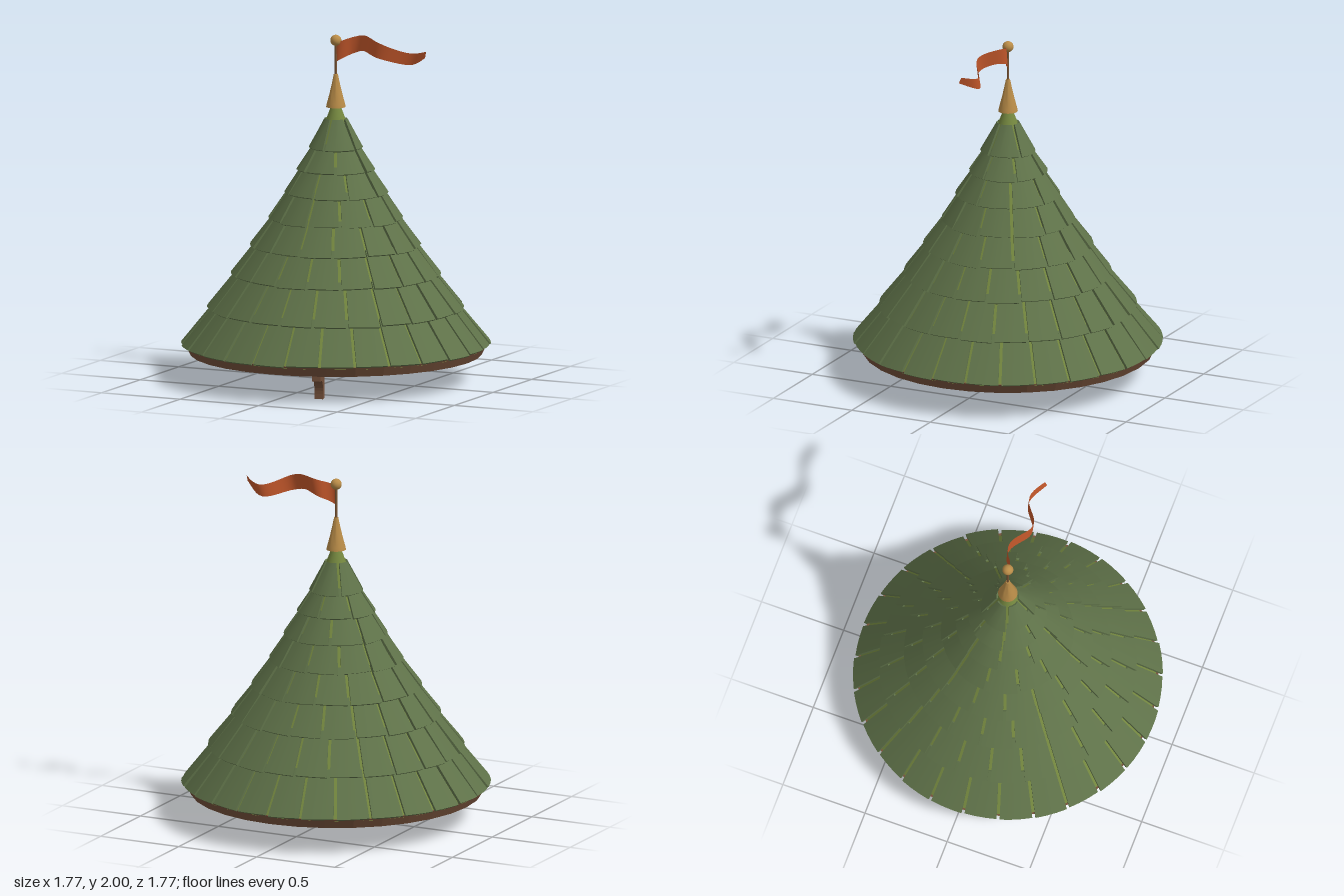
import * as THREE from 'three';
import { mergeGeometries, toCreasedNormals } from 'three/addons/utils/BufferGeometryUtils.js';

const mat = (name, color, extra = {}) => {
  const m = new THREE.MeshStandardMaterial({ color, ...extra });
  m.name = name;
  return m;
};

// Seeded random for slight hand-laid unevenness
function seeded(seed) {
  return () => {
    seed = (seed * 16807) % 2147483647;
    return seed / 2147483647;
  };
}

// Profile of the roof core, [radius, height]
const CORE = [[0.855, 0.2], [0.7, 0.42], [0.565, 0.615], [0.455, 0.785], [0.355, 0.94],
  [0.27, 1.09], [0.195, 1.22], [0.125, 1.345], [0.07, 1.47], [0.022, 1.6]];

// Shingle rows: [lower radius, lower height, count]
const ROWS = [[0.882, 0.215, 27], [0.735, 0.425, 23], [0.597, 0.62, 19], [0.487, 0.785, 15],
  [0.382, 0.94, 12], [0.298, 1.09, 9], [0.224, 1.225, 7], [0.158, 1.345, 5]];

function coreRadius(y) {
  for (let i = 1; i < CORE.length; i++) {
    const [r0, y0] = CORE[i - 1], [r1, y1] = CORE[i];
    if (y <= y1) return r0 + ((r1 - r0) * (y - y0)) / (y1 - y0);
  }
  return 0.022;
}

// One curved shingle: a box bent around the roof axis
function shingle(angle, count, low, high, gap, tilt) {
  const g = new THREE.BoxGeometry(1, 1, 1, 3, 1, 1);
  const p = g.attributes.position;
  for (let i = 0; i < p.count; i++) {
    const top = p.getY(i) > 0, inner = p.getZ(i) < 0;
    let [r, y] = top ? high : low;
    const half = Math.PI / count - gap / r;
    const a = angle + p.getX(i) * 2 * half;
    if (!top) y += p.getX(i) * tilt;
    if (inner) {
      r -= 0.013;
      y -= 0.008;
    }
    p.setXYZ(i, r * Math.sin(a), y, r * Math.cos(a));
  }
  return toCreasedNormals(g, 0.6);
}

// Waving pennant that narrows toward its tip
function pennantGeometry() {
  const curve = (pts) => new THREE.SplineCurve(pts.map(([x, y]) => new THREE.Vector2(x, y)));
  const upper = curve([[0, 1.95], [0.09, 1.985], [0.18, 2], [0.3, 1.975], [0.45, 1.917], [0.58, 1.943]]);
  const lower = curve([[0, 1.84], [0.09, 1.89], [0.18, 1.912], [0.3, 1.885], [0.45, 1.848], [0.58, 1.908]]);
  const g = new THREE.PlaneGeometry(1, 1, 36, 4);
  const p = g.attributes.position;
  for (let i = 0; i < p.count; i++) {
    const t = p.getX(i) + 0.5, v = p.getY(i) + 0.5;
    const q = lower.getPoint(t).lerp(upper.getPoint(t), v);
    const swing = 0.043 * Math.min(1, t * 6);
    p.setXYZ(i, q.x, q.y, -swing * Math.sin((2 * Math.PI * (q.x - 0.03 - 0.02 * (v - 0.5))) / 0.35));
  }
  g.computeVertexNormals();
  return g;
}

export function createModel() {
  const model = new THREE.Group();
  model.name = 'turretRoof';
  const shingleGreen = mat('shingle green', 0x5f7249);
  const mossGreen = mat('moss green', 0x74873f, { side: THREE.DoubleSide });
  const wood = mat('wood brown', 0x74503a, { flatShading: true });
  const gold = mat('gold', 0xb98c48);
  const poleBrown = mat('pole brown', 0x7a5535);
  const orange = mat('pennant orange', 0xc0562a, { side: THREE.DoubleSide });

  const add = (name, geometry, material, parent = model) => {
    const m = new THREE.Mesh(geometry, material);
    m.name = name;
    parent.add(m);
    return m;
  };

  // Roof core seen between the shingles
  add('roofCore', new THREE.LatheGeometry(CORE.map(([r, y]) => new THREE.Vector2(r, y)), 54), mossGreen);

  // Eave board closing the underside
  add('eave', new THREE.CylinderGeometry(0.862, 0.835, 0.055, 32), wood).position.y = 0.1825;

  // Overlapping shingle rows, staggered by half a shingle
  const rand = seeded(41);
  const shingles = new THREE.Group();
  shingles.name = 'shingles';
  model.add(shingles);
  ROWS.forEach(([r, y, count], row) => {
    const topY = row < 7 ? ROWS[row + 1][1] + 0.035 : 1.515;
    const parts = [];
    for (let i = 0; i < count; i++) {
      const angle = Math.PI + ((i + (row % 2 ? 0 : 0.5)) * 2 * Math.PI) / count;
      const low = [r + (rand() - 0.5) * 0.008, y + (rand() - 0.5) * 0.008];
      const high = [coreRadius(topY) + 0.012, topY];
      parts.push(shingle(angle, count, low, high, 0.009, (rand() - 0.5) * 0.012));
    }
    add('shingleRow' + (row + 1), mergeGeometries(parts), shingleGreen, shingles);
  });

  // Curved bracket under the eave
  const side = new THREE.Shape();
  side.moveTo(0.63, 0);
  side.lineTo(0.682, 0);
  side.lineTo(0.682, 0.03);
  side.quadraticCurveTo(0.685, 0.112, 0.755, 0.118);
  side.lineTo(0.782, 0.118);
  side.lineTo(0.782, 0.158);
  side.lineTo(0.63, 0.158);
  const bracketGeo = new THREE.ExtrudeGeometry(side, { depth: 0.05, bevelEnabled: false, curveSegments: 8 });
  bracketGeo.translate(0, 0, -0.025);
  add('bracket', bracketGeo, wood).rotation.y = -Math.PI / 2 + 0.314;

  // Finial, pole and ball
  const finial = [[0, 1.58], [0.056, 1.58], [0.052, 1.6], [0.036, 1.66], [0.022, 1.72], [0.012, 1.77], [0, 1.77]];
  const finialGeo = new THREE.LatheGeometry(finial.map(([r, y]) => new THREE.Vector2(r, y)), 24);
  add('finial', toCreasedNormals(finialGeo, 0.7), gold);
  add('pole', new THREE.CylinderGeometry(0.007, 0.007, 0.22, 10), poleBrown).position.y = 1.85;
  add('ball', new THREE.SphereGeometry(0.032, 20, 14), gold).position.y = 1.965;

  add('pennant', pennantGeometry(), orange);
  return model;
}
